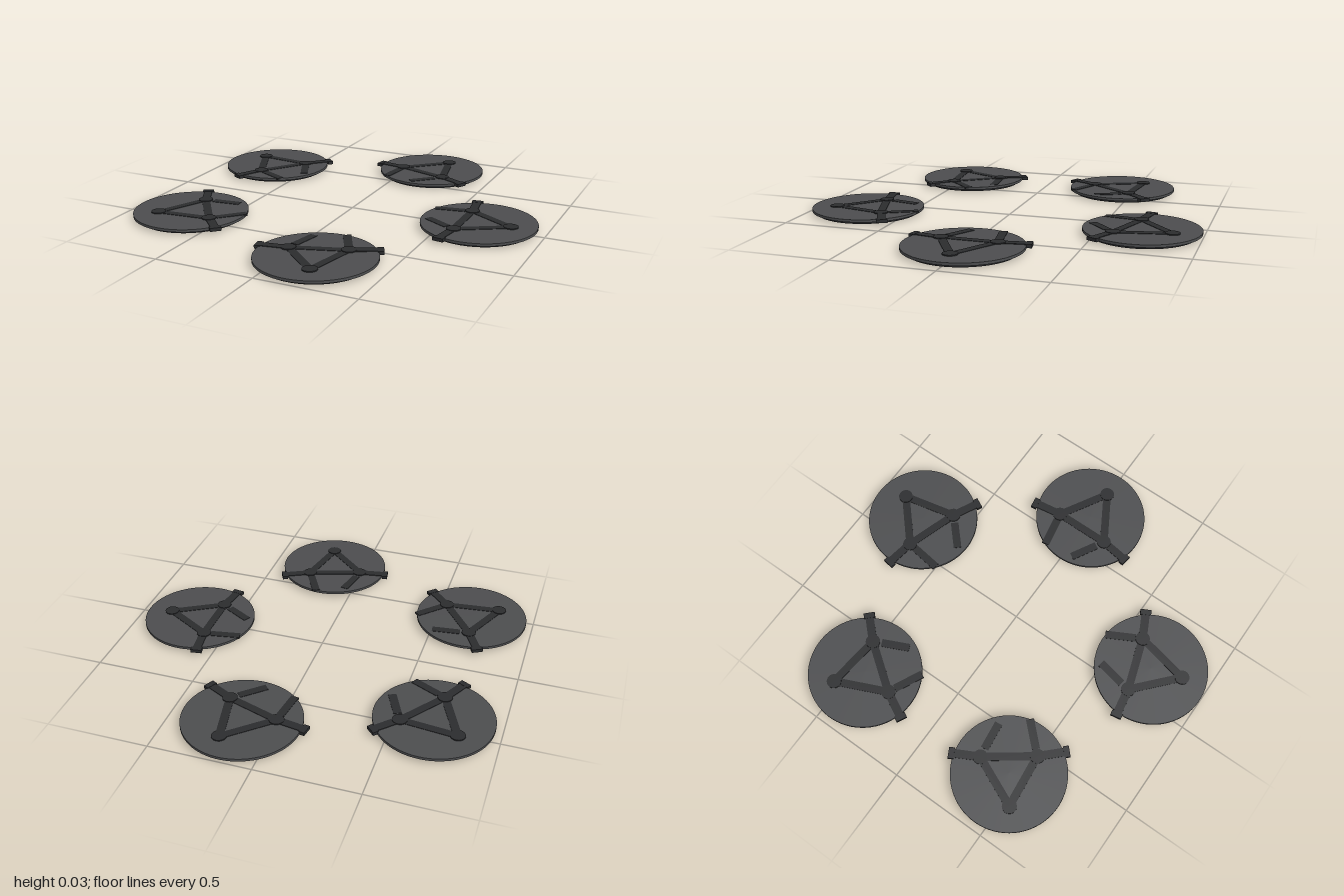
import * as THREE from 'three';

const plateMat = new THREE.MeshStandardMaterial({ color: 0x4c4d4f });
const darkMat = new THREE.MeshStandardMaterial({ color: 0x2b2c2e });
const baseMat = new THREE.MeshStandardMaterial({ color: 0x222325 });

// Upright cylinder spanning y0..y1
function disc(name, r, y0, y1, mat, segments, x = 0, z = 0) {
  const mesh = new THREE.Mesh(new THREE.CylinderGeometry(r, r, y1 - y0, segments), mat);
  mesh.position.set(x, (y0 + y1) / 2, z);
  mesh.name = name;
  return mesh;
}

// Flat bar between two [x, z] points, spanning y0..y1
function bar(name, a, b, width, y0, y1) {
  const dx = b[0] - a[0], dz = b[1] - a[1];
  const mesh = new THREE.Mesh(new THREE.BoxGeometry(Math.hypot(dx, dz), y1 - y0, width), darkMat);
  mesh.position.set((a[0] + b[0]) / 2, (y0 + y1) / 2, (a[1] + b[1]) / 2);
  mesh.rotation.y = -Math.atan2(dz, dx);
  mesh.name = name;
  return mesh;
}

function createPad() {
  const pad = new THREE.Group();
  // Stepped round plate
  pad.add(disc('base', 0.26, 0, 0.016, baseMat, 72));
  pad.add(disc('plate', 0.285, 0.014, 0.027, plateMat, 72));

  // Triangular frame with round joints
  const joints = [0, 1, 2].map((i) => {
    const a = (i * Math.PI * 2) / 3;
    return [0.16 * Math.cos(a), 0.16 * Math.sin(a)];
  });
  joints.forEach((p, i) => {
    pad.add(disc('joint', 0.036, 0.02, 0.032, darkMat, 32, p[0], p[1]));
    pad.add(bar('frameBar', p, joints[(i + 1) % 3], 0.04, 0.02, 0.029));
  });

  // Arms reaching over the rim, each with a wider clip
  for (const [joint, tip] of [[joints[1], [-0.103, 0.293]], [joints[2], [-0.103, -0.295]]]) {
    const neck = [0, 1].map((k) => joint[k] + (tip[k] - joint[k]) * 0.82);
    pad.add(bar('rimArm', joint, neck, 0.042, 0.02, 0.03));
    pad.add(bar('rimClip', neck, tip, 0.056, 0.014, 0.031));
  }

  // Short loose struts beside the two inner joints
  pad.add(bar('strut', [-0.265, -0.105], [-0.115, -0.132], 0.04, 0.02, 0.029));
  pad.add(bar('strut', [-0.245, 0.048], [-0.12, 0.118], 0.04, 0.02, 0.029));
  return pad;
}

export function createModel() {
  const model = new THREE.Group();
  model.name = 'padRing';
  // Five pads, each turned to face outwards
  for (let i = 0; i < 5; i++) {
    const a = (i * Math.PI * 2) / 5;
    const pad = createPad();
    pad.name = 'pad' + (i + 1);
    pad.position.set(-0.075 + 0.75 * Math.cos(a), 0, 0.75 * Math.sin(a));
    pad.rotation.y = -a;
    model.add(pad);
  }
  return model;
}
